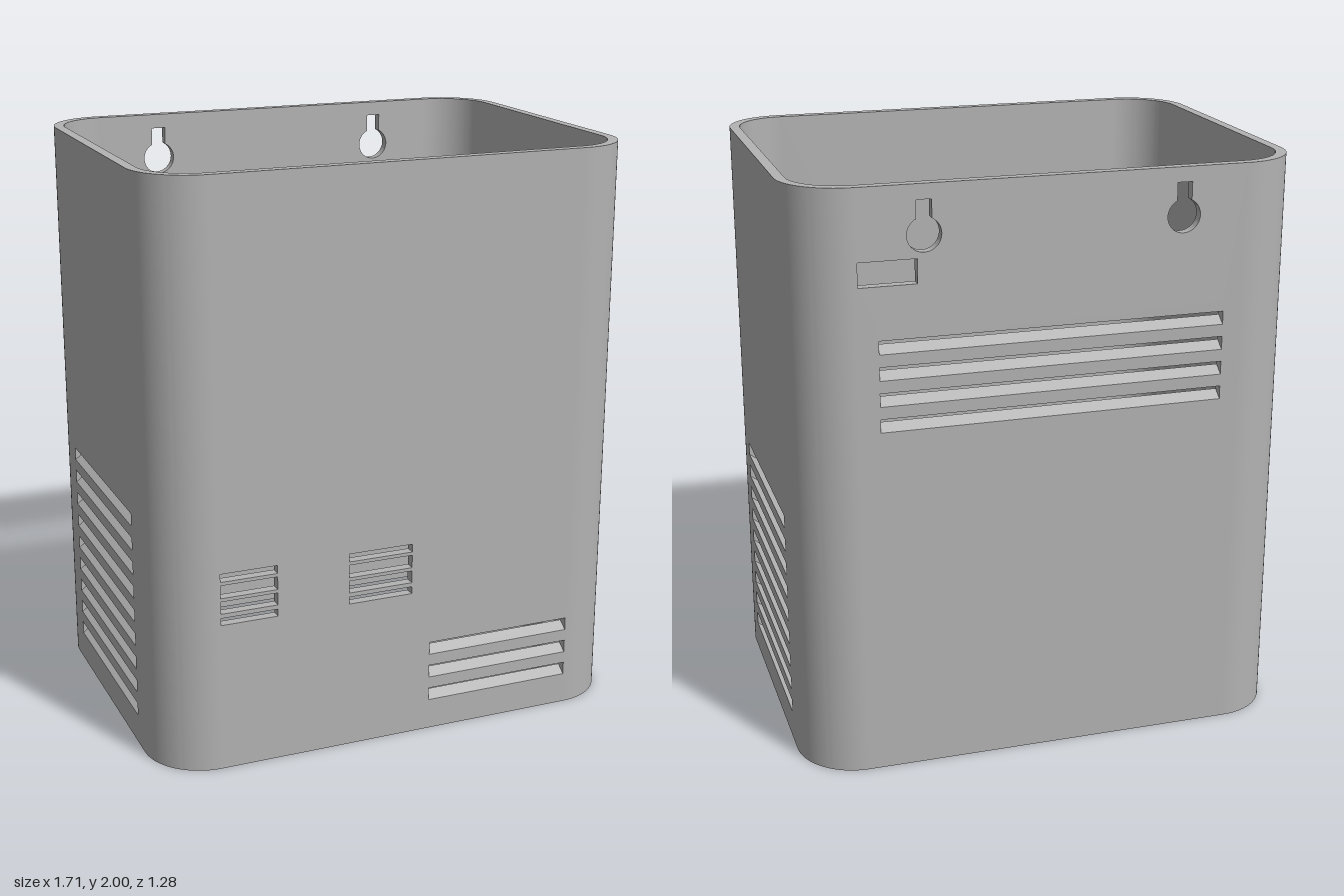
import * as THREE from 'three';
import { toCreasedNormals } from 'three/addons/utils/BufferGeometryUtils.js';

const W = 0.855, D = 0.64, H = 2, T = 0.035, R = 0.207;
const SLOT = 0.045, PITCH = 0.0865, MARGIN = 0.035;

const grey = new THREE.MeshStandardMaterial({ color: 0xb3b3b3 });
grey.name = 'grey plastic';

function add(parent, name, geometry) {
  const mesh = new THREE.Mesh(geometry, grey);
  mesh.name = name;
  parent.add(mesh);
  return mesh;
}

function rectPath(x0, x1, y0, y1) {
  return new THREE.Path([[x0, y0], [x0, y1], [x1, y1], [x1, y0]].map(p => new THREE.Vector2(...p)));
}

// Hanging hole: a round opening with a narrow neck above it
function keyhole(x) {
  const y = 1.84, r = 0.056, n = 0.025, a = Math.acos(n / r);
  const p = new THREE.Path();
  p.absarc(x, y, r, a, Math.PI - a, true);
  p.lineTo(x - n, 1.95);
  p.lineTo(x + n, 1.95);
  p.closePath();
  return p;
}

// Flat wall in local space: outer face at z = 0, inner face at z = -T
function wall(parent, name, half, angle, distance, holes, vent) {
  const group = new THREE.Group();
  group.name = name;
  group.rotation.y = angle;
  group.position.set(Math.sin(angle) * distance, 0, Math.cos(angle) * distance);
  parent.add(group);

  const { x0, x1, y0, count, shift } = vent;
  const low = y0 - MARGIN, high = y0 + (count - 1) * PITCH + SLOT + MARGIN;
  const shape = new THREE.Shape([[-half, 0], [half, 0], [half, H], [-half, H]].map(p => new THREE.Vector2(...p)));
  shape.holes.push(rectPath(x0, x1, low, high), ...holes);
  const panel = new THREE.ExtrudeGeometry(shape, { depth: T, bevelEnabled: false, curveSegments: 24 });
  add(group, name + 'Panel', toCreasedNormals(panel.translate(0, 0, -T), 0.5));

  // Slanted bars leave the vent slots between them
  for (let i = 0; i <= count; i++) {
    const first = i === 0, last = i === count;
    const bottom = first ? low : y0 + (i - 1) * PITCH + SLOT;
    const top = last ? high : y0 + i * PITCH;
    const section = new THREE.Shape([
      new THREE.Vector2(0, bottom),
      new THREE.Vector2(0, top),
      new THREE.Vector2(-T, last ? top : top + shift),
      new THREE.Vector2(-T, first ? bottom : bottom + shift),
    ]);
    const bar = new THREE.ExtrudeGeometry(section, { depth: x1 - x0, bevelEnabled: false });
    add(group, 'ventBar', bar.rotateY(-Math.PI / 2).translate(x1, 0, 0));
  }
}

export function createModel() {
  const model = new THREE.Group();
  model.name = 'ventedEnclosure';
  const fx = W - R, fz = D - R;

  // Front wall with two small grilles
  const grilles = [];
  for (const [x0, x1] of [[-0.643, -0.445], [-0.19, 0.04]])
    for (const [y0, y1] of [[0.52, 0.545], [0.56, 0.603], [0.615, 0.66], [0.672, 0.7]])
      grilles.push(rectPath(x0, x1, y0, y1));
  wall(model, 'frontWall', fx, 0, D, grilles, { x0: 0.11, x1: 0.643, y0: 0.108, count: 3, shift: 0.024 });

  // Back wall with keyholes and a cable opening
  const openings = [keyhole(0.43), keyhole(-0.43), rectPath(-0.643, -0.453, 1.685, 1.765)];
  wall(model, 'backWall', fx, Math.PI, D, openings, { x0: -0.58, x1: 0.58, y0: 1.205, count: 4, shift: 0.025 });

  // Side walls, whose slots all slant the same way across the body
  const side = { x0: -0.36, x1: 0.36, y0: 0.105, count: 9 };
  wall(model, 'leftWall', fz, Math.PI / 2, W, [], { ...side, shift: -0.026 });
  wall(model, 'rightWall', fz, -Math.PI / 2, W, [], { ...side, shift: 0.026 });

  // Rounded corners and screw posts
  const post = [[0, 0.12], [0.03, 0.12], [0.03, 0], [0.065, 0], [0.065, 0.185], [0, 0.185]]
    .map(p => new THREE.Vector2(...p));
  for (let k = 0; k < 4; k++) {
    const a = k * Math.PI / 2;
    const sx = k === 0 || k === 3 ? 1 : -1, sy = k < 2 ? 1 : -1;
    const arc = new THREE.Shape();
    arc.absarc(sx * fx, sy * fz, R, a, a + Math.PI / 2, false);
    arc.absarc(sx * fx, sy * fz, R - T, a + Math.PI / 2, a, true);
    arc.closePath();
    const corner = new THREE.ExtrudeGeometry(arc, { depth: H, bevelEnabled: false, curveSegments: 16 });
    add(model, 'roundedCorner', toCreasedNormals(corner.rotateX(-Math.PI / 2), 0.5));
    add(model, 'screwPost', toCreasedNormals(new THREE.LatheGeometry(post, 32), 0.5))
      .position.set(sx * 0.685, 0, sy * 0.47);
  }

  // Inner ledge under the grilles
  add(model, 'innerLedge', new THREE.BoxGeometry(0.625, 0.04, 0.055)).position.set(-0.3225, 0.47, 0.5775);
  return model;
}
